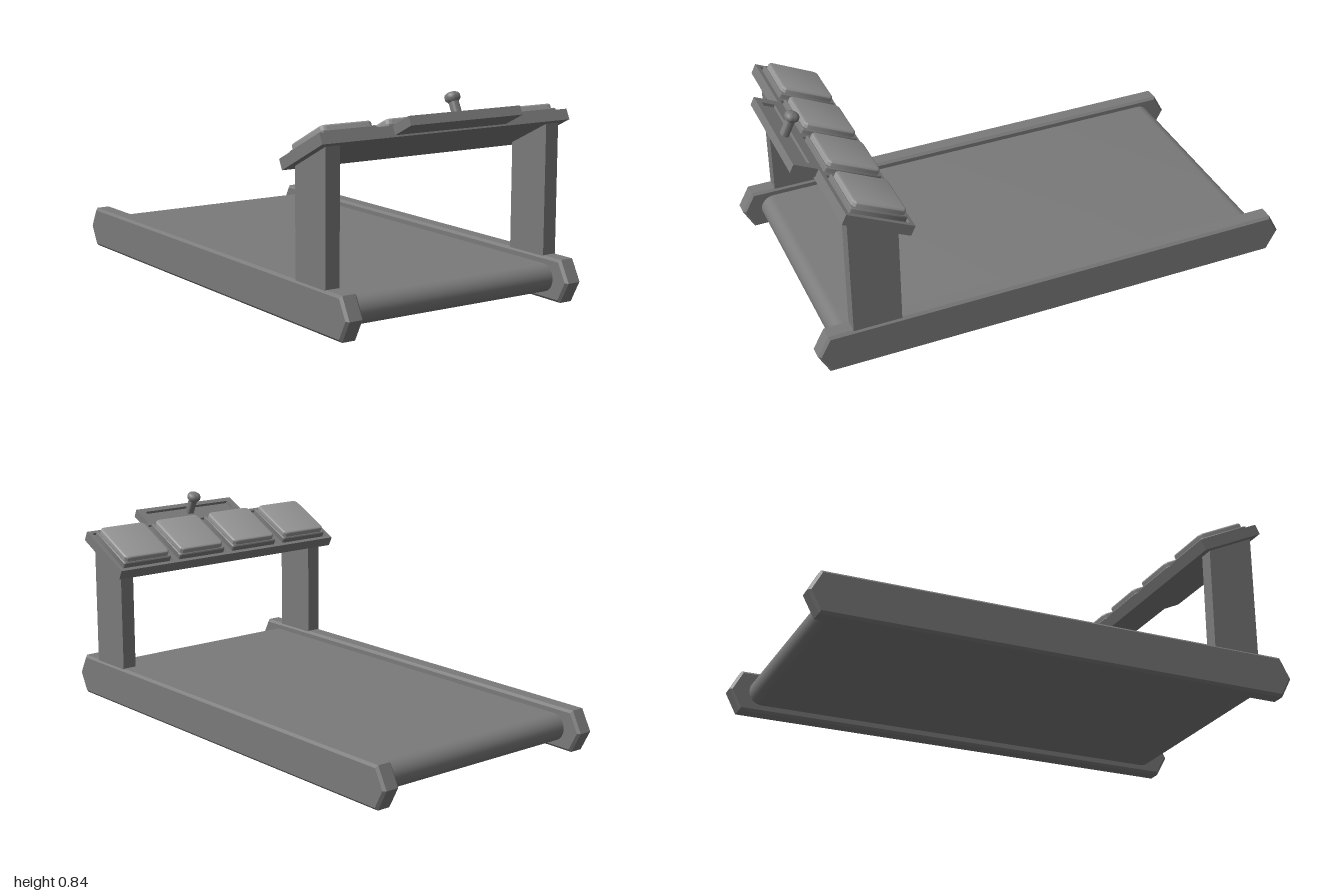
import * as THREE from 'three';
import { toCreasedNormals } from 'three/addons/utils/BufferGeometryUtils.js';

const bodyMaterial = new THREE.MeshStandardMaterial({ color: 0x7a7a7a });
const padMaterial = new THREE.MeshStandardMaterial({ color: 0x979797 });

function mesh(name, geometry, material = bodyMaterial) {
  const m = new THREE.Mesh(geometry, material);
  m.name = name;
  return m;
}

// Extrusion with its total depth and outline kept when chamfered, centred in depth
function extrude(shape, depth, bevel = 0, segments = 1) {
  const g = new THREE.ExtrudeGeometry(shape, {
    depth: depth - 2 * bevel, bevelEnabled: bevel > 0, bevelSize: bevel,
    bevelThickness: bevel, bevelOffset: -bevel, bevelSegments: segments, curveSegments: 8,
  });
  return toCreasedNormals(g.translate(0, 0, bevel - depth / 2), 0.6);
}

// Side profile given as (z, y), extruded across x
const sideExtrude = (shape, width, bevel) => extrude(shape, width, bevel).rotateY(-Math.PI / 2);

const polygon = (points) => new THREE.Shape(points.map(([a, b]) => new THREE.Vector2(a, b)));

function rectangle(w, h, cx = 0, cy = 0) {
  return polygon([[-1, -1], [1, -1], [1, 1], [-1, 1]].map(([a, b]) => [cx + a * w / 2, cy + b * h / 2]));
}

function roundedRectangle(w, h, r) {
  const s = new THREE.Shape();
  s.absarc(w / 2 - r, h / 2 - r, r, 0, Math.PI / 2);
  s.absarc(r - w / 2, h / 2 - r, r, Math.PI / 2, Math.PI);
  s.absarc(r - w / 2, r - h / 2, r, Math.PI, Math.PI * 1.5);
  s.absarc(w / 2 - r, r - h / 2, r, Math.PI * 1.5, Math.PI * 2);
  return s;
}

// Flat geometry lying in xz, with its top at the given height
function plate(shape, thickness, x, top, z, bevel = 0, segments = 1) {
  return extrude(shape, thickness, bevel, segments)
    .rotateX(-Math.PI / 2).translate(x, top - thickness / 2, z);
}

function createConsole() {
  const console = new THREE.Group();
  console.name = 'console';
  const length = 0.289, padX = [-0.42, -0.14, 0.14, 0.42], padZ = 0.146;

  // Sloping board with a shallow well around every pad
  const board = rectangle(1.132, length);
  board.holes = padX.map((x) => rectangle(0.256, 0.256, x, 0));
  console.add(mesh('boardRim', plate(board, 0.01, 0, 0, length / 2)));
  console.add(mesh('boardBase', plate(rectangle(1.132, length), 0.033, 0, -0.01, length / 2)));

  // Stepped pads
  for (const x of padX) {
    console.add(mesh('padBase', plate(roundedRectangle(0.236, 0.24, 0.008), 0.03, x, 0.016, padZ, 0.004)));
    console.add(mesh('pad', plate(roundedRectangle(0.222, 0.226, 0.022), 0.03, x, 0.038, padZ, 0.008, 3), padMaterial));
  }

  // Tray beyond the upper edge
  const trayZ = 0.341;
  const rim = rectangle(0.508, 0.104);
  rim.holes = [rectangle(0.44, 0.056)];
  console.add(mesh('trayRim', plate(rim, 0.012, 0, 0, trayZ)));
  console.add(mesh('trayBase', plate(rectangle(0.508, 0.104), 0.024, 0, -0.012, trayZ)));

  // Mushroom-shaped knob standing in the tray
  const profile = [[0, -0.014], [0.019, -0.014], [0.019, 0.051], [0.028, 0.061],
    [0.029, 0.066], [0.029, 0.075], [0.025, 0.082], [0.017, 0.087], [0, 0.089]];
  const knob = mesh('knob', toCreasedNormals(new THREE.LatheGeometry(
    profile.map(([r, y]) => new THREE.Vector2(r, y)), 24), 0.6));
  knob.position.z = trayZ;
  console.add(knob);

  console.position.set(0, 0.604, 0.604);
  console.rotation.x = -THREE.MathUtils.degToRad(26);
  return console;
}

export function createModel() {
  const model = new THREE.Group();
  model.name = 'treadmill';

  // Belt loop with round ends
  const r = 0.055, end = 0.865;
  const loop = new THREE.Shape();
  loop.absarc(end, 0.085, r, -Math.PI / 2, Math.PI / 2);
  loop.absarc(-end, 0.085, r, Math.PI / 2, Math.PI * 1.5);
  model.add(mesh('belt', sideExtrude(loop, 0.96)));

  // Side rails with pointed ends, and posts cut to the slope of the console
  const railProfile = polygon([[-0.955, 0], [0.955, 0], [1, 0.084], [0.955, 0.168], [-0.955, 0.168], [-1, 0.084]]);
  const postProfile = polygon([[0.66, 0.15], [0.855, 0.15], [0.855, 0.68], [0.66, 0.585]]);
  for (const side of [-1, 1]) {
    const rail = mesh(side > 0 ? 'leftRail' : 'rightRail', sideExtrude(railProfile, 0.074, 0.01));
    const post = mesh(side > 0 ? 'leftPost' : 'rightPost', sideExtrude(postProfile, 0.06));
    rail.position.x = post.position.x = side * 0.504;
    model.add(rail, post);
  }

  model.add(createConsole());
  return model;
}
